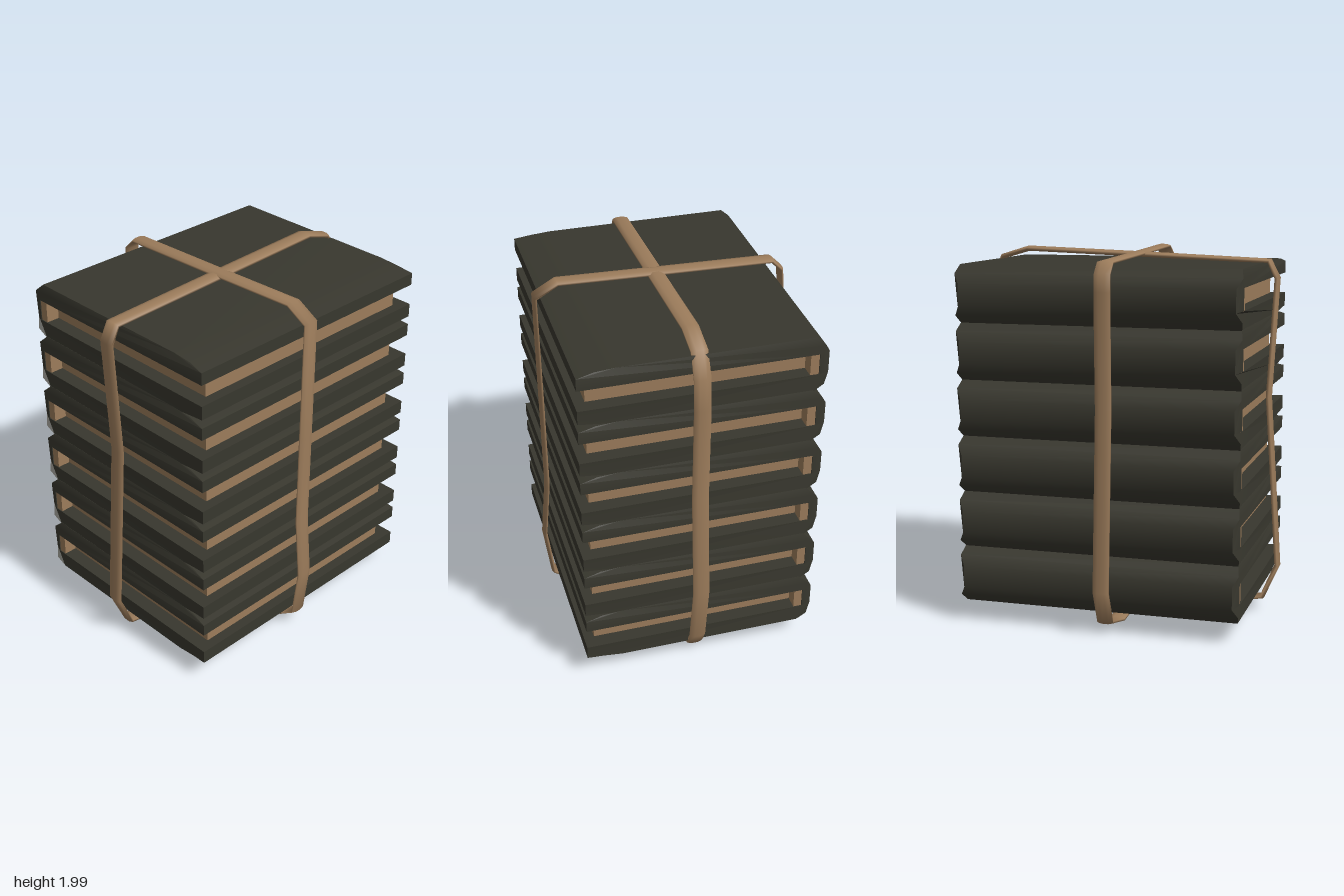
import * as THREE from 'three';
import { toCreasedNormals } from 'three/addons/utils/BufferGeometryUtils.js';

const coverMat = new THREE.MeshStandardMaterial({ color: 0x38372e });
coverMat.name = 'dark cover';
const tanMat = new THREE.MeshStandardMaterial({ color: 0x9c7c5b });
tanMat.name = 'tan paper and cord';

const PITCH = 0.3025, BASE = 0.1, MID_X = 0.0075;

// U-shaped cover: profile in (z, y), extruded across the book's width
function coverGeometry() {
  const profile = [
    [0.65, 0.03], [0.56, 0.012], [0.45, 0], [-0.55, 0], [-0.6, 0.045], [-0.63, 0.095],
    [-0.63, 0.215], [-0.6, 0.265], [-0.55, 0.31], [0.45, 0.31], [0.56, 0.302], [0.65, 0.285],
    [0.65, 0.218], [-0.57, 0.218], [-0.57, 0.104], [0.65, 0.104],
  ].map(([z, y]) => new THREE.Vector2(z, y));
  const width = 1.525;
  const g = new THREE.ExtrudeGeometry(new THREE.Shape(profile), { depth: width, bevelEnabled: false });
  g.translate(0, 0, -width / 2);
  g.rotateY(-Math.PI / 2);
  // clip the outer corners of the spine and soften the outer faces' ends
  const p = g.attributes.position;
  for (let i = 0; i < p.count; i++) {
    const x = p.getX(i), y = p.getY(i), z = p.getZ(i);
    let inset = 0;
    if (z < -0.61) inset = 0.028;
    else if (y < 0.02 || y > 0.295) inset = 0.012;
    p.setX(i, x - Math.sign(x) * inset);
  }
  return toCreasedNormals(g, 0.7);
}

// Flat cord following a closed counter-clockwise loop of (u, y) points
function cordGeometry(points, halfThick, halfWide) {
  const SIDES = 8, n = points.length, pos = [], idx = [];
  const pts = points.map(([u, y]) => new THREE.Vector2(u, y));
  for (let i = 0; i < n; i++) {
    const a = pts[i].clone().sub(pts[(i + n - 1) % n]).normalize();
    const b = pts[(i + 1) % n].clone().sub(pts[i]).normalize();
    const t = a.add(b).normalize();
    for (let j = 0; j < SIDES; j++) {
      const ang = ((j + 0.5) / SIDES) * Math.PI * 2;
      const d = Math.cos(ang) * halfThick * 1.08;
      pos.push(pts[i].x + t.y * d, pts[i].y - t.x * d, Math.sin(ang) * halfWide * 1.08);
      const k = i * SIDES + j, k1 = i * SIDES + ((j + 1) % SIDES);
      const m = ((i + 1) % n) * SIDES + j, m1 = ((i + 1) % n) * SIDES + ((j + 1) % SIDES);
      idx.push(k, m, k1, k1, m, m1);
    }
  }
  const g = new THREE.BufferGeometry();
  g.setAttribute('position', new THREE.Float32BufferAttribute(pos, 3));
  g.setIndex(idx);
  g.computeVertexNormals();
  return g;
}

export function createModel() {
  const group = new THREE.Group();
  group.name = 'tiedBookStack';

  const add = (parent, name, geo, mat, x = 0, y = 0, z = 0) => {
    const m = new THREE.Mesh(geo, mat);
    m.name = name;
    m.position.set(x, y, z);
    parent.add(m);
  };

  // Six identical books
  const cover = coverGeometry();
  const pages = new THREE.BoxGeometry(1.37, 0.122, 1.13);
  const liner = new THREE.BoxGeometry(1.515, 0.122, 0.05);
  for (let i = 0; i < 6; i++) {
    const book = new THREE.Group();
    book.name = 'book' + (i + 1);
    book.position.set(MID_X, BASE + i * PITCH, 0);
    add(book, 'cover', cover, coverMat);
    add(book, 'pages', pages, tanMat, 0, 0.161, 0.03);
    add(book, 'spineLining', liner, tanMat, 0, 0.161, -0.55);
    group.add(book);
  }

  // Cord running side to side
  const sideLoop = [
    [0.8, 1.1], [0.81, 1.64], [0.8, 1.81], [0.74, 1.935], [0.59, 1.98], [-0.05, 1.957], [-0.77, 1.93],
    [-0.815, 1.84], [-0.78, 1.2], [-0.845, 0.26], [-0.765, 0.075], [-0.52, 0.03],
    [0, 0.05], [0.56, 0.033], [0.74, 0.075], [0.79, 0.165], [0.845, 0.51],
  ];
  add(group, 'sideCord', cordGeometry(sideLoop, 0.014, 0.043), tanMat, 0, 0, 0.04);

  // Cord running front to back
  const frontLoop = [
    [0.672, 0.72], [0.675, 1.25], [0.68, 1.91], [0.56, 1.978], [0.04, 1.962], [-0.6, 1.945],
    [-0.655, 1.89], [-0.662, 1.8], [-0.645, 1.2], [-0.7, 0.25], [-0.62, 0.068],
    [-0.4, 0.014], [0, 0.036], [0.57, 0.034], [0.665, 0.1], [0.702, 0.38],
  ];
  const fg = cordGeometry(frontLoop, 0.012, 0.043);
  fg.rotateY(-Math.PI / 2);
  add(group, 'frontCord', fg, tanMat, -0.05, 0, 0);

  return group;
}
